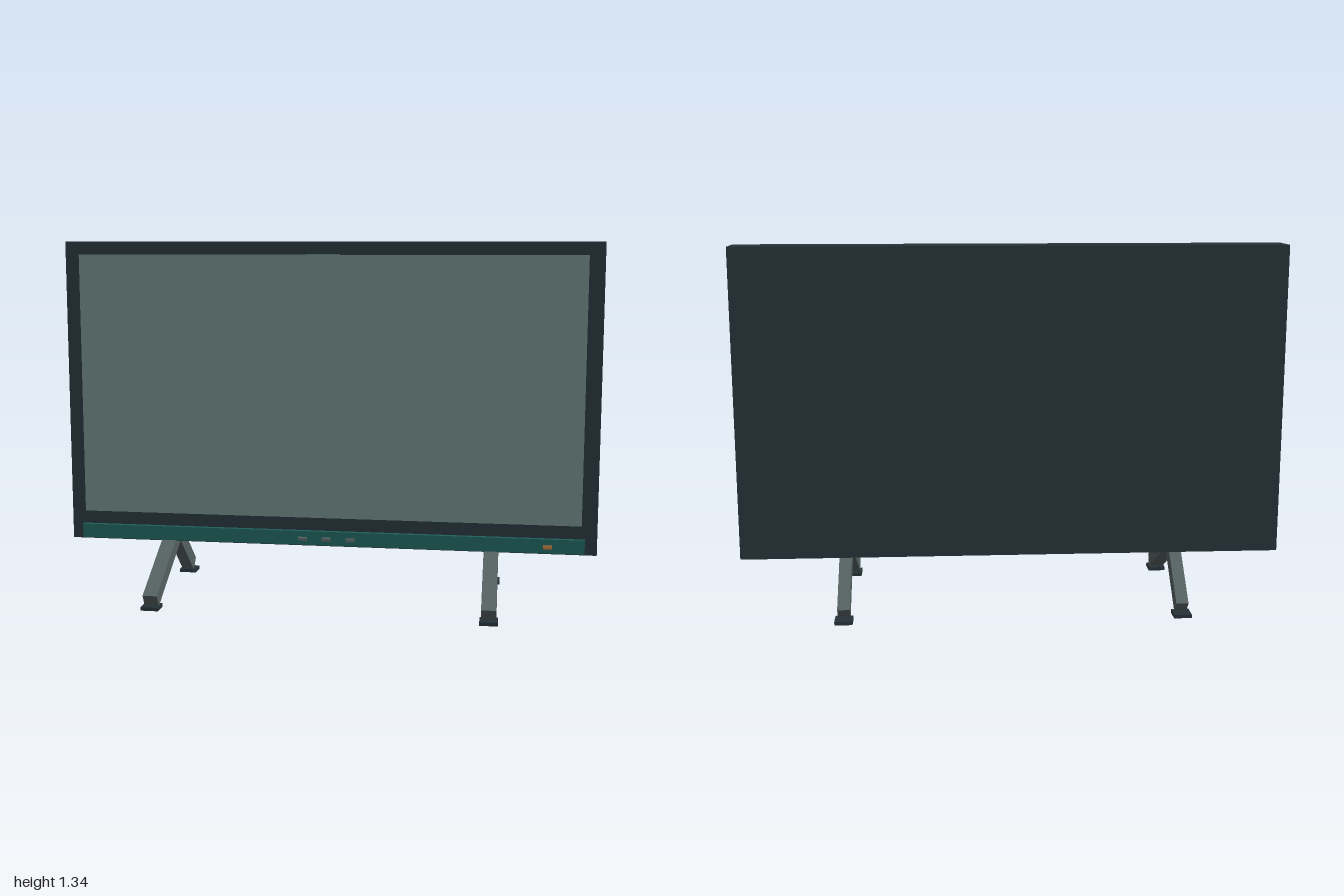
import * as THREE from 'three';

const mat = (color) => new THREE.MeshStandardMaterial({ color });

export function createModel() {
  const model = new THREE.Group();
  model.name = 'television';
  const dark = mat(0x263238);
  const glass = mat(0x6b8280);
  const teal = mat(0x1f5f5b);
  const metal = mat(0x566362);
  const orange = mat(0xb0703a);

  const box = (name, material, [w, h, d], [x, y, z], parent = model) => {
    const mesh = new THREE.Mesh(new THREE.BoxGeometry(w, h, d), material);
    mesh.name = name;
    mesh.position.set(x, y, z);
    parent.add(mesh);
    return mesh;
  };

  // Cabinet, raised screen panel and control strip
  box('cabinet', dark, [2, 1.142, 0.143], [0, 0.766, -0.054]);
  box('screen', glass, [1.884, 0.982, 0.03], [0, 0.798, 0.021]);
  box('controlStrip', teal, [1.91, 0.053, 0.03], [0, 0.228, 0.021]);

  // Three buttons and the power light
  for (const x of [-0.09, 0, 0.09]) box('button', metal, [0.032, 0.011, 0.022], [x, 0.227, 0.043]);
  box('powerLight', orange, [0.032, 0.011, 0.022], [0.82, 0.227, 0.043]);

  // Square bar running from a foot up to the hidden joint in the cabinet
  const bar = (name, parent, width, thickness, y, z) => {
    const low = new THREE.Vector3(0, y, z);
    const joint = new THREE.Vector3(0, 0.218, -0.056);
    const middle = low.clone().add(joint).multiplyScalar(0.5);
    const leg = box(name, metal, [width, thickness, low.distanceTo(joint)], middle.toArray(), parent);
    leg.rotation.x = -Math.atan2(joint.y - low.y, joint.z - low.z);
  };

  // Pair of splayed stands with flat feet
  for (const side of [-1, 1]) {
    const stand = new THREE.Group();
    stand.name = side > 0 ? 'leftStand' : 'rightStand';
    stand.position.x = side * 0.615;
    bar('frontLeg', stand, 0.054, 0.051, 0.031, 0.283);
    bar('rearLeg', stand, 0.045, 0.056, 0.03, -0.27);
    box('frontFoot', dark, [0.065, 0.013, 0.064], [0, 0.0065, 0.273], stand);
    box('rearFoot', dark, [0.065, 0.013, 0.064], [0, 0.0065, -0.273], stand);
    model.add(stand);
  }
  return model;
}
